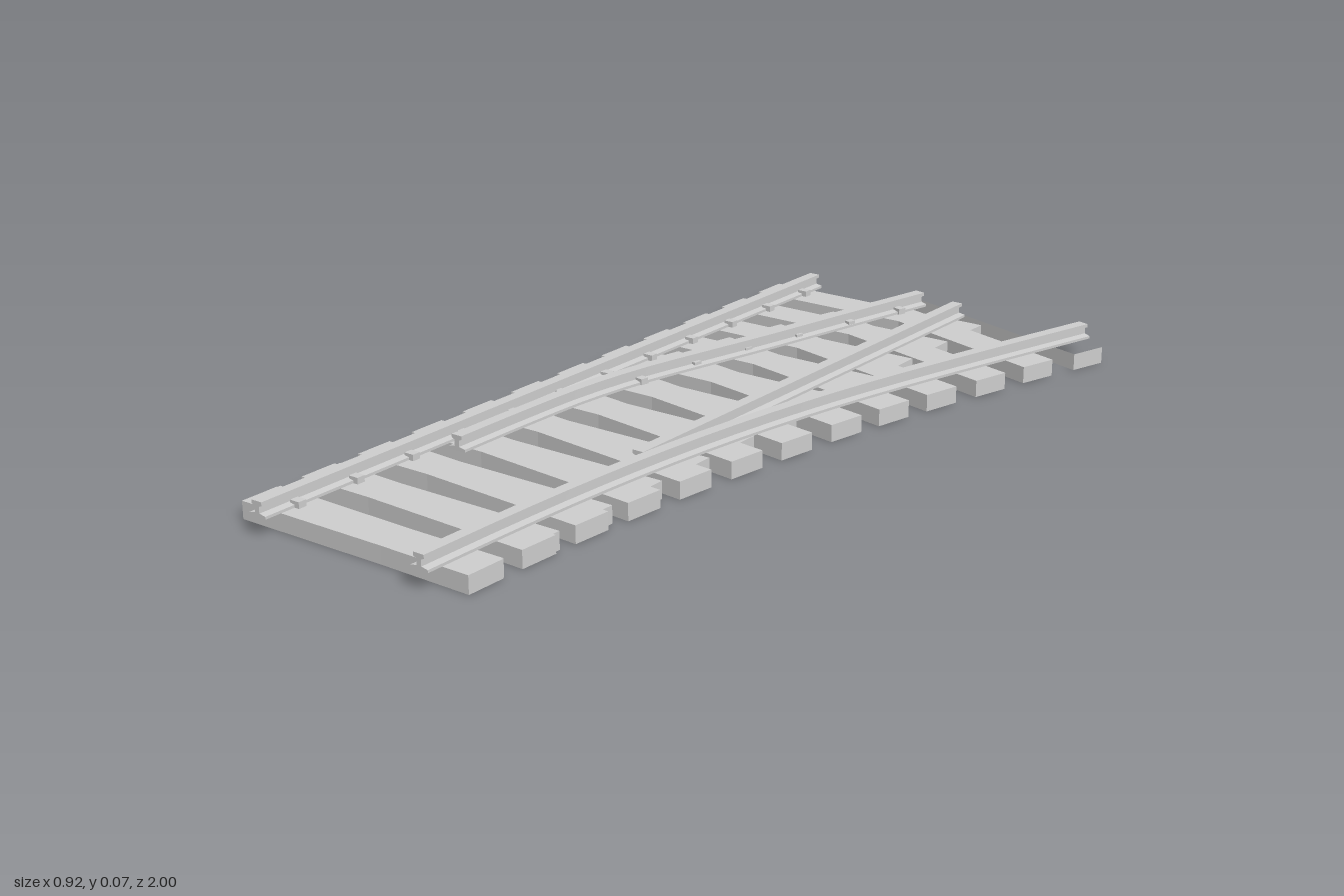
import * as THREE from 'three';

const TIE = { length: 0.6, width: 0.092, height: 0.039 };
const GAUGE_HALF = 0.19; // clip distance from the tie's middle

export function createModel() {
  const group = new THREE.Group();
  const mat = new THREE.MeshStandardMaterial({ color: 0xcccccc, flatShading: true });
  const thin = new THREE.MeshStandardMaterial({ color: 0xcccccc, side: THREE.DoubleSide });

  const add = (parent, name, geometry, x, y, z, material = mat) => {
    const mesh = new THREE.Mesh(geometry, material);
    mesh.name = name;
    mesh.position.set(x, y, z);
    parent.add(mesh);
    return mesh;
  };

  const tieGeo = new THREE.BoxGeometry(TIE.length, TIE.height, TIE.width);
  const clipGeo = new THREE.BoxGeometry(0.024, 0.014, 0.02);
  const addClip = (parent, side) =>
    add(parent, 'railClip', clipGeo, side * GAUGE_HALF, TIE.height + 0.007, 0);

  // Group centred on a tie, placed from the tie's rear left corner
  const tieGroup = (name, cornerX, cornerZ, degrees) => {
    const a = THREE.MathUtils.degToRad(degrees);
    const g = new THREE.Group();
    g.name = name;
    g.rotation.y = -a;
    const l = TIE.length / 2, w = TIE.width / 2;
    g.position.set(
      cornerX - l * Math.cos(a) - w * Math.sin(a), 0,
      cornerZ - l * Math.sin(a) + w * Math.cos(a));
    group.add(g);
    return g;
  };

  // Ties of the straight track and, overlapping them, of the diverging track
  const corners = [
    [0.407, -0.754], [0.365, -0.606], [0.323, -0.458], [0.286, -0.315],
    [0.254, -0.172], [0.228, -0.019], [0.204, 0.13], [0.183, 0.281],
    [0.167, 0.43], [0.154, 0.578], [0.147, 0.727], [0.142, 0.872]];
  corners.forEach(([x, z], i) => {
    const straight = tieGroup('straightTie', 0.14, -0.887 + i * 0.1595, 0);
    add(straight, 'tie', tieGeo, 0, TIE.height / 2, 0);
    addClip(straight, -1);
    if (i < 8) addClip(straight, 1);

    const diverging = tieGroup('divergingTie', x, z, 17.1 - i * 1.45);
    add(diverging, 'tie', tieGeo, 0, TIE.height / 2, 0);
    addClip(diverging, 1);
    if (i < 6) addClip(diverging, -1);
  });

  // Rearmost tie: only its front and end walls
  const last = tieGroup('openTie', 0.457, -0.907, 17.3);
  add(last, 'frontWall', new THREE.PlaneGeometry(TIE.length, TIE.height),
    0, TIE.height / 2, TIE.width / 2, thin);
  add(last, 'endWall', new THREE.PlaneGeometry(TIE.width, TIE.height),
    TIE.length / 2, TIE.height / 2, 0, thin).rotation.y = Math.PI / 2;
  addClip(last, 1);

  // I-shaped rail section: [height, half width] from base to head
  const half = [
    [0.039, 0.022], [0.045, 0.022], [0.048, 0.006],
    [0.062, 0.006], [0.065, 0.0135], [0.073, 0.0135]];
  const outline = [...half, ...half.map(([h, w]) => [h, -w]).reverse()];
  const section = new THREE.Shape(outline.map(([h, w]) => new THREE.Vector2(-h, w)));

  const addRail = (name, points) => {
    const path = points.map(([x, z]) => new THREE.Vector3(x, 0, z));
    const isLine = path.length === 2;
    const extrudePath = isLine ? new THREE.LineCurve3(...path) : new THREE.CatmullRomCurve3(path);
    const geo = new THREE.ExtrudeGeometry(section, { extrudePath, steps: isLine ? 1 : 20 });
    add(group, name, geo, 0, 0, 0);
  };

  addRail('straightOuterRail', [[-0.372, 1], [-0.372, -0.92]]);
  addRail('straightInnerRail', [[0.052, 0.355], [0.052, -0.92]]);
  addRail('divergingInnerRail', [
    [-0.308, 0.505], [-0.307, 0.3], [-0.3, 0.11], [-0.275, -0.07],
    [-0.235, -0.24], [-0.19, -0.42], [-0.134, -0.67], [-0.07, -0.945]]);
  addRail('divergingOuterRail', [
    [0.053, 1], [0.056, 0.77], [0.064, 0.56], [0.08, 0.35], [0.107, 0.13],
    [0.147, -0.1], [0.195, -0.31], [0.275, -0.6], [0.381, -0.955]]);

  return group;
}
